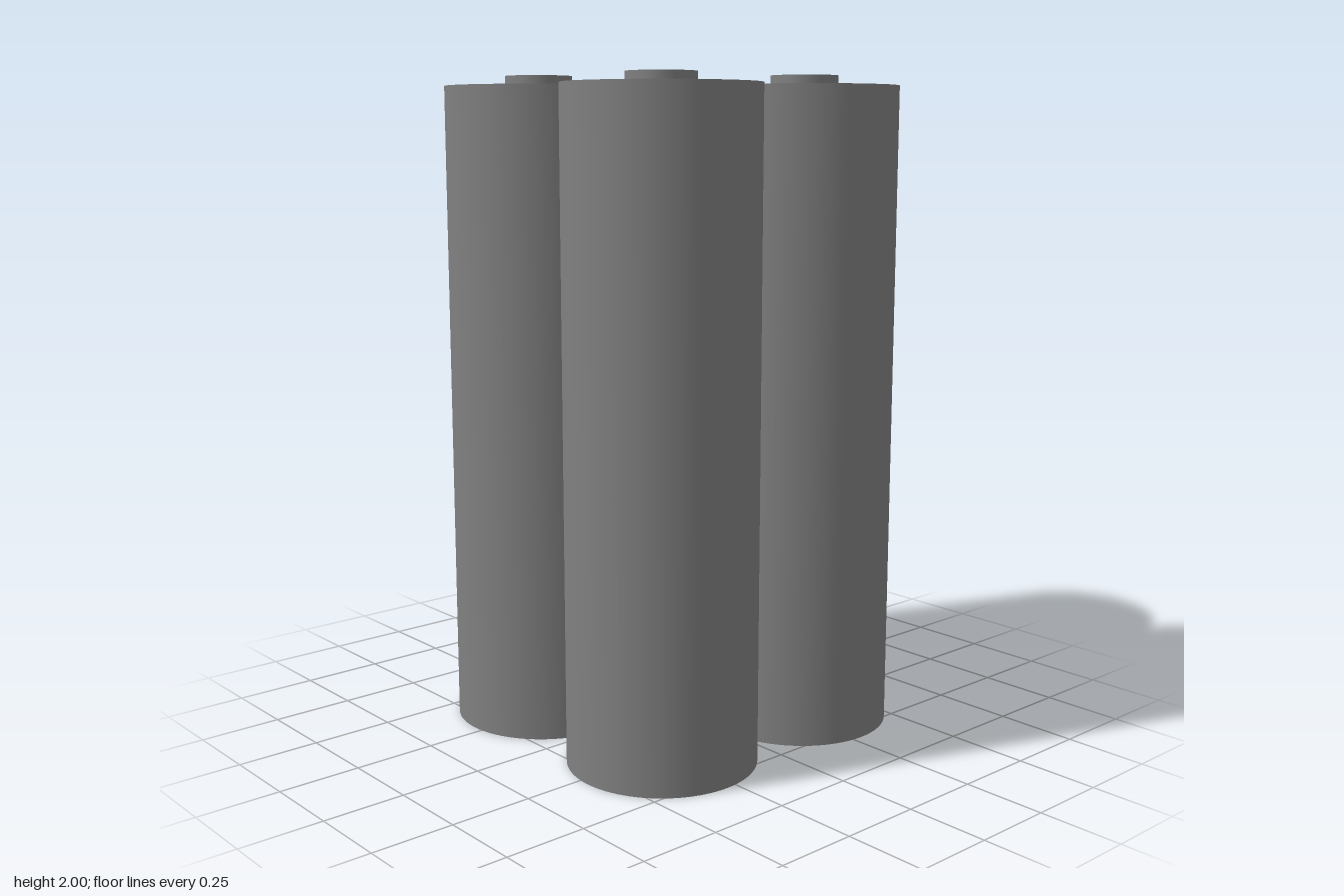
import * as THREE from 'three';

const RADIUS = 0.283;      // cell body radius; neighbours touch
const BODY_HEIGHT = 1.97;
const CAP_RADIUS = 0.101;
const TOTAL_HEIGHT = 2;

// Upright cylinder spanning two heights
function upright(name, radius, bottom, top, material) {
  const geometry = new THREE.CylinderGeometry(radius, radius, top - bottom, 96);
  const mesh = new THREE.Mesh(geometry, material);
  mesh.name = name;
  mesh.position.y = (bottom + top) / 2;
  return mesh;
}

export function createModel() {
  const grey = new THREE.MeshStandardMaterial({ color: 0x808080 });
  grey.name = 'grey casing';

  const model = new THREE.Group();
  model.name = 'batteryPack';

  // Four cells in a two by two block
  for (const [depth, z] of [['front', 1], ['back', -1]]) {
    for (const [side, x] of [['Left', 1], ['Right', -1]]) {
      const cell = new THREE.Group();
      cell.name = `${depth}${side}Cell`;
      cell.position.set(x * RADIUS, 0, z * RADIUS);
      cell.add(
        upright('cellBody', RADIUS, 0, BODY_HEIGHT, grey),
        upright('positiveTerminal', CAP_RADIUS, BODY_HEIGHT, TOTAL_HEIGHT, grey),
      );
      model.add(cell);
    }
  }
  return model;
}
